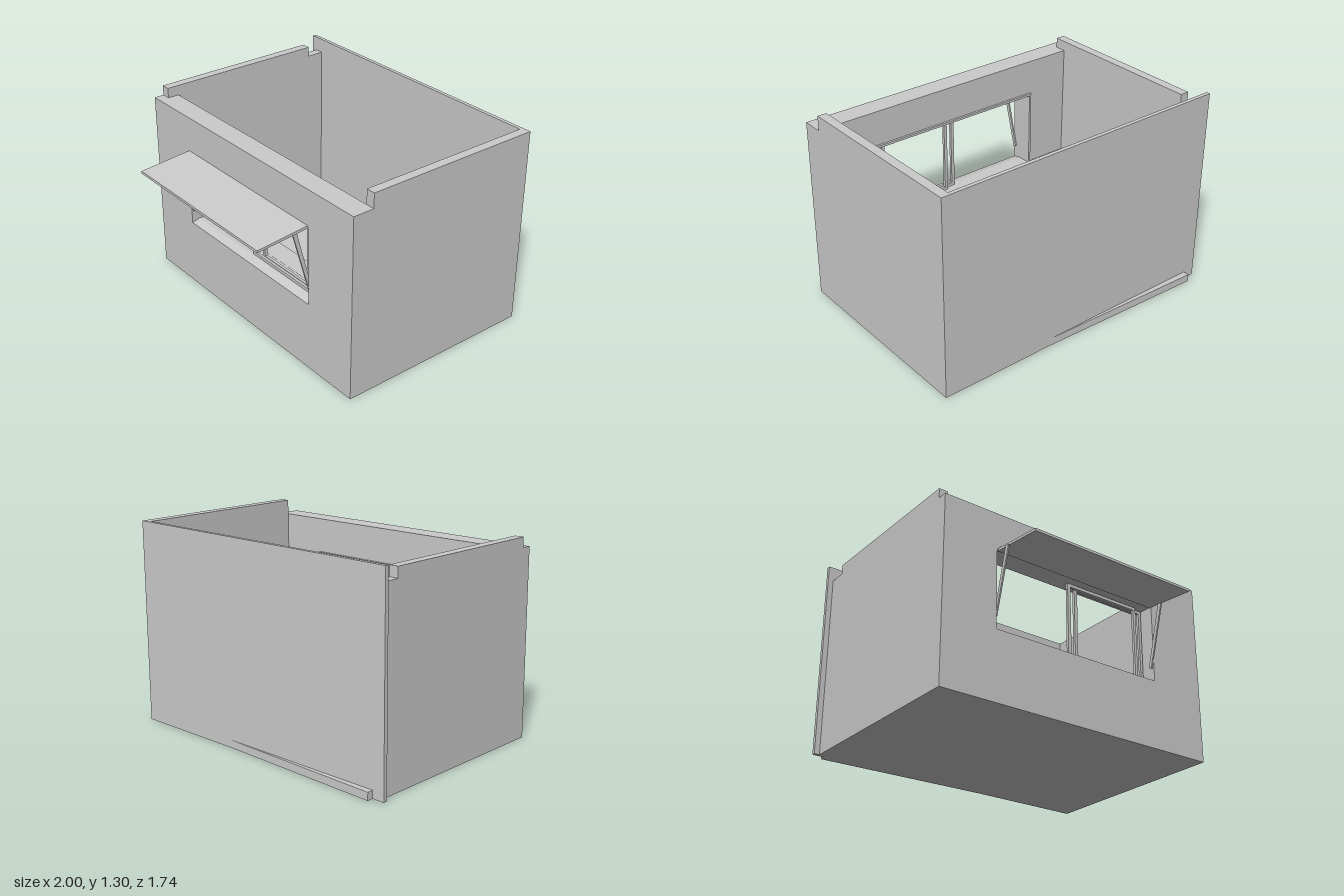
import * as THREE from 'three';

export function createModel() {
  const group = new THREE.Group();
  const material = new THREE.MeshStandardMaterial({ color: 0xcccccc, flatShading: true, side: THREE.DoubleSide });

  const add = (name, geometry, parent = group) => {
    const mesh = new THREE.Mesh(geometry, material);
    mesh.name = name;
    parent.add(mesh);
    return mesh;
  };
  // box given by its minimum and maximum on each axis
  const box = (name, x0, x1, y0, y1, z0, z1, parent) => {
    const g = new THREE.BoxGeometry(x1 - x0, y1 - y0, z1 - z0);
    g.translate((x0 + x1) / 2, (y0 + y1) / 2, (z0 + z1) / 2);
    return add(name, g, parent);
  };
  const rect = (T, x0, x1, y0, y1) => {
    const p = new T();
    p.moveTo(x0, y0).lineTo(x1, y0).lineTo(x1, y1).lineTo(x0, y1).closePath();
    return p;
  };
  // rectangular panel with a rectangular hole, spanning z0..z1
  const frame = (name, o, h, z0, z1) => {
    const s = rect(THREE.Shape, ...o);
    s.holes.push(rect(THREE.Path, ...h));
    const g = new THREE.ExtrudeGeometry(s, { depth: z1 - z0, bevelEnabled: false });
    g.translate(0, 0, z0);
    return add(name, g);
  };
  // side profile of [z, y] points, extruded from x0 to x1
  const sideProfile = (name, points, x0, x1) => {
    const s = new THREE.Shape(points.map(([z, y]) => new THREE.Vector2(-z, y)));
    const g = new THREE.ExtrudeGeometry(s, { depth: x1 - x0, bevelEnabled: false });
    g.rotateY(Math.PI / 2).translate(x0, 0, 0);
    return add(name, g);
  };

  // room shell
  box('floor', -0.905, 0.94, 0, 0.045, -0.805, 0.375);
  box('backWall', -1, 1, 0, 1.3, -0.83, -0.805);
  box('leftSideWall', 0.94, 1, 0, 1.3, -0.805, 0.375);
  box('rightSideWall', -0.965, -0.905, 0, 1.205, -0.805, 0.375);
  box('rightWallBeam', -0.965, -0.905, 1.205, 1.27, -0.69, 0.45);

  // front wall with the serving window
  const W = { l: -0.595, r: 0.615, b: 0.445, t: 0.965 };
  frame('frontWall', [-0.965, 1, 0, 1.205], [W.l, W.r, W.b, W.t], 0.375, 0.515);
  sideProfile('slopedSill', [[0.375, 0.445], [0.515, 0.445], [0.515, 0.45], [0.46, 0.465], [0.375, 0.465]], W.l, W.r);
  frame('innerWindowTrim', [-0.61, 0.63, 0.465, 0.98], [W.l, W.r, 0.466, W.t], 0.36, 0.375);
  box('innerShelf', -0.905, 0.61, 0.44, 0.465, 0.24, 0.375);

  // two sliding sashes, both pushed to one side
  const sash = (name, x0, x1, z0) =>
    frame(name, [x0, x1, 0.465, 0.96], [x0 + 0.022, x1 - 0.02, 0.485, 0.94], z0, z0 + 0.018);
  sash('outerSash', -0.015, 0.54, 0.43);
  sash('innerSash', 0.055, 0.605, 0.408);

  // raised awning shutter
  sideProfile('awningShutter', [[0.505, 0.958], [0.865, 0.926], [0.865, 0.943], [0.505, 0.975]], -0.585, 0.61);

  // slanted struts holding the awning
  for (const x of [-0.592, 0.602])
    sideProfile('awningStrut', [[0.592, 0.952], [0.484, 0.545], [0.504, 0.535], [0.62, 0.95]], x, x + 0.01);

  // tapered strip along the foot of the back wall
  const foot = new THREE.Shape([[-0.92, 0.83], [0.24, 0.83], [-0.92, 0.87]].map(p => new THREE.Vector2(...p)));
  add('footStrip', new THREE.ExtrudeGeometry(foot, { depth: 0.05, bevelEnabled: false }).rotateX(-Math.PI / 2));

  return group;
}
